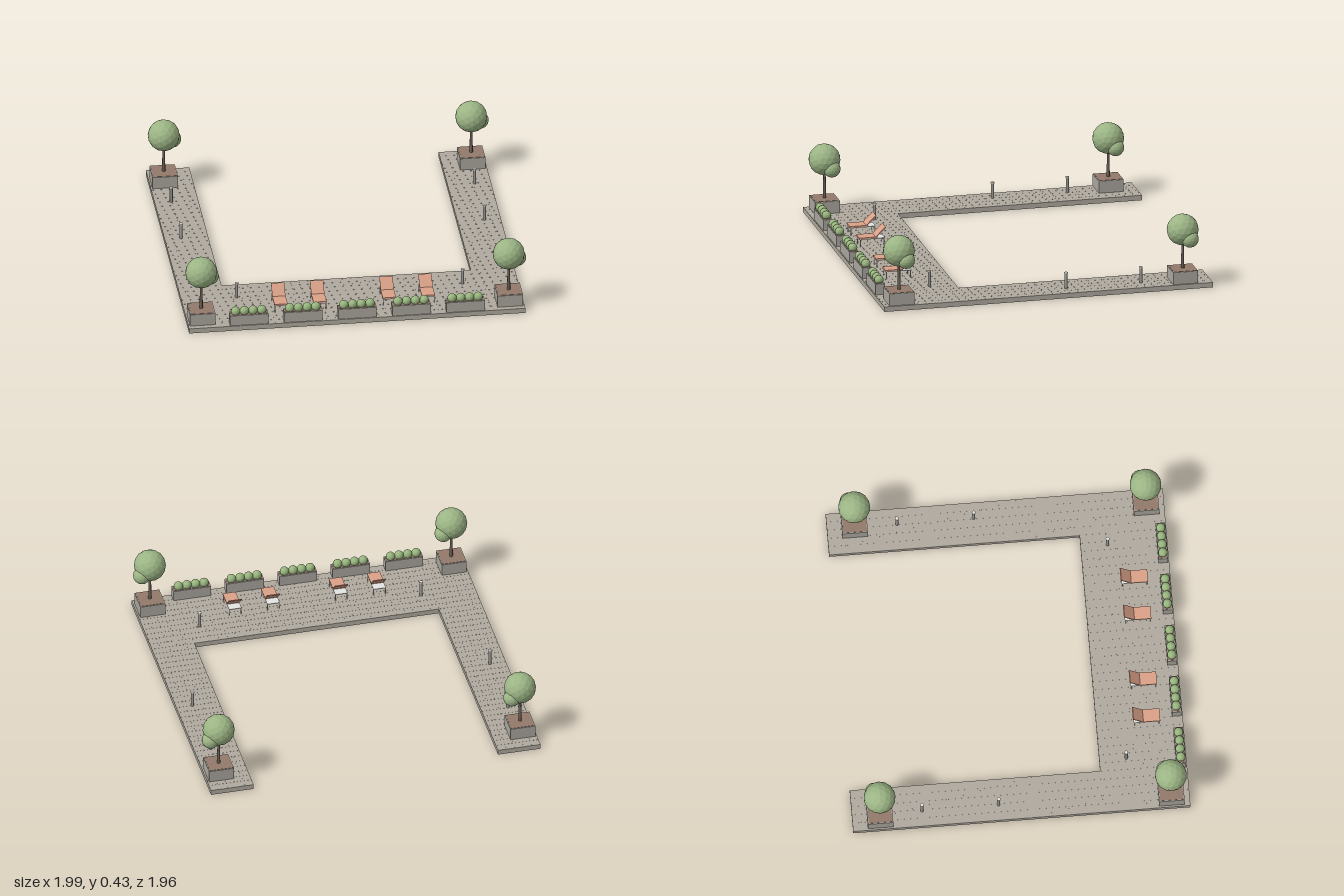
import * as THREE from 'three';
import { mergeGeometries } from 'three/addons/utils/BufferGeometryUtils.js';

const mat = (name, color, flatShading = false) => {
  const m = new THREE.MeshStandardMaterial({ color, flatShading });
  m.name = name;
  return m;
};

export function createModel() {
  const underside = mat('underside grey', 0xd2d2d2);
  const paving = mat('paving', 0xafa99e);
  const concrete = mat('planter concrete', 0xaaa69e);
  const soil = mat('soil', 0x93796a);
  const bark = mat('bark', 0x6a5e54);
  const leaf = mat('tree leaves', 0x9cb585, true);
  const shrub = mat('shrub leaves', 0x98b57e, true);
  const cushion = mat('terracotta fabric', 0xdaa088);
  const metal = mat('pale metal', 0xe4e4e2);
  const post = mat('post grey', 0x9a9894);

  const model = new THREE.Group();
  model.name = 'terrace';
  // The layout is symmetric about a line slightly off the origin
  const layout = new THREE.Group();
  layout.name = 'layout';
  layout.position.x = -0.0075;
  model.add(layout);

  const add = (parent, name, geo, material, x, y, z) => {
    const mesh = new THREE.Mesh(geo, material);
    mesh.name = name;
    mesh.position.set(x, y, z);
    parent.add(mesh);
    return mesh;
  };
  const box = (w, h, d) => new THREE.BoxGeometry(w, h, d);
  const group = (name, x, y, z) => {
    const g = new THREE.Group();
    g.name = name;
    g.position.set(x, y, z);
    layout.add(g);
    return g;
  };

  // U-shaped slab, open at the back, with a pale underside
  const W = 0.982, D = 0.98, IN = 0.728, INZ = 0.476, TOP = 0.03;
  const outline = new THREE.Shape([
    [-W, -D], [W, -D], [W, D], [IN, D], [IN, -INZ], [-IN, -INZ], [-IN, D], [-W, D],
  ].map(([x, y]) => new THREE.Vector2(x, y)));
  const layer = (name, depth, material, y) => {
    const geo = new THREE.ExtrudeGeometry(outline, { depth, bevelEnabled: false });
    add(layout, name, geo.rotateX(-Math.PI / 2), material, 0, y, 0);
  };
  layer('underside', 0.001, underside, 0);
  layer('slab', TOP - 0.0016, paving, 0.001);

  // Square pavers with fine joints, laid over three rectangles
  const pavers = [];
  const pave = (x0, x1, z0, z1) => {
    const nx = Math.round((x1 - x0) / 0.051), nz = Math.round((z1 - z0) / 0.051);
    const w = (x1 - x0) / nx, d = (z1 - z0) / nz;
    for (let i = 0; i < nx; i++) {
      for (let j = 0; j < nz; j++) {
        pavers.push(box(w - 0.001, 0.0006, d - 0.001)
          .translate(x0 + (i + 0.5) * w, TOP - 0.0003, z0 + (j + 0.5) * d));
      }
    }
  };
  pave(-W, W, INZ, D);
  pave(-W, -IN, -D, INZ);
  pave(IN, W, -D, INZ);
  add(layout, 'pavers', mergeGeometries(pavers), paving, 0, 0, 0);

  // Corner trees in square planters
  for (const x of [-0.898, 0.898]) {
    for (const z of [0.873, -0.82]) {
      const tree = group('treePlanter', x, TOP, z);
      add(tree, 'planterBox', box(0.148, 0.073, 0.148), concrete, 0, 0.0365, 0);
      add(tree, 'soil', box(0.138, 0.003, 0.138), soil, 0, 0.0735, 0);
      add(tree, 'trunk', new THREE.CylinderGeometry(0.007, 0.01, 0.17, 8), bark, 0, 0.155, 0);
      add(tree, 'crown', new THREE.IcosahedronGeometry(0.093, 2), leaf, 0, 0.308, 0);
      add(tree, 'sideFoliage', new THREE.IcosahedronGeometry(0.051, 2), leaf, 0.055, 0.265, -0.03);
    }
  }

  // Row of long planters along the front edge
  for (let i = -2; i <= 2; i++) {
    const planter = group('shrubPlanter', i * 0.316 + 0.002, TOP, 0.946);
    add(planter, 'planterBox', box(0.224, 0.064, 0.056), concrete, 0, 0.032, 0);
    add(planter, 'soil', box(0.214, 0.003, 0.046), soil, 0, 0.0645, 0);
    for (let k = 0; k < 4; k++) {
      add(planter, 'shrub', new THREE.IcosahedronGeometry(0.027, 2), shrub, (k - 1.5) * 0.051, 0.08, 0);
    }
  }

  // Sun loungers facing the front: pale base plate, raised backrest
  for (const x of [-0.43, -0.2025, 0.2025, 0.43]) {
    const lounger = group('lounger', x + 0.002, TOP, 0.004);
    add(lounger, 'seat', box(0.077, 0.008, 0.1), cushion, 0, 0.05, 0.793);
    const back = add(lounger, 'backrest', box(0.077, 0.006, 0.086), cushion, 0, 0.079, 0.716);
    back.rotation.x = Math.PI / 4;
    add(lounger, 'base', box(0.074, 0.004, 0.154), metal, 0, 0.044, 0.766);
    for (const s of [-1, 1]) {
      for (const z of [0.694, 0.836]) {
        add(lounger, 'leg', box(0.004, 0.044, 0.004), metal, s * 0.035, 0.022, z);
      }
    }
  }

  // Bollard lights along the walkways
  for (const s of [-1, 1]) {
    for (const [x, z] of [[0.886, -0.573], [0.886, -0.127], [0.66, 0.633]]) {
      const bollard = group('bollard', s * x, TOP, z);
      add(bollard, 'post', new THREE.CylinderGeometry(0.009, 0.009, 0.09, 12), post, 0, 0.045, 0);
      add(bollard, 'lampCap', new THREE.CylinderGeometry(0.011, 0.011, 0.007, 12), metal, 0, 0.0935, 0);
    }
  }
  return model;
}
